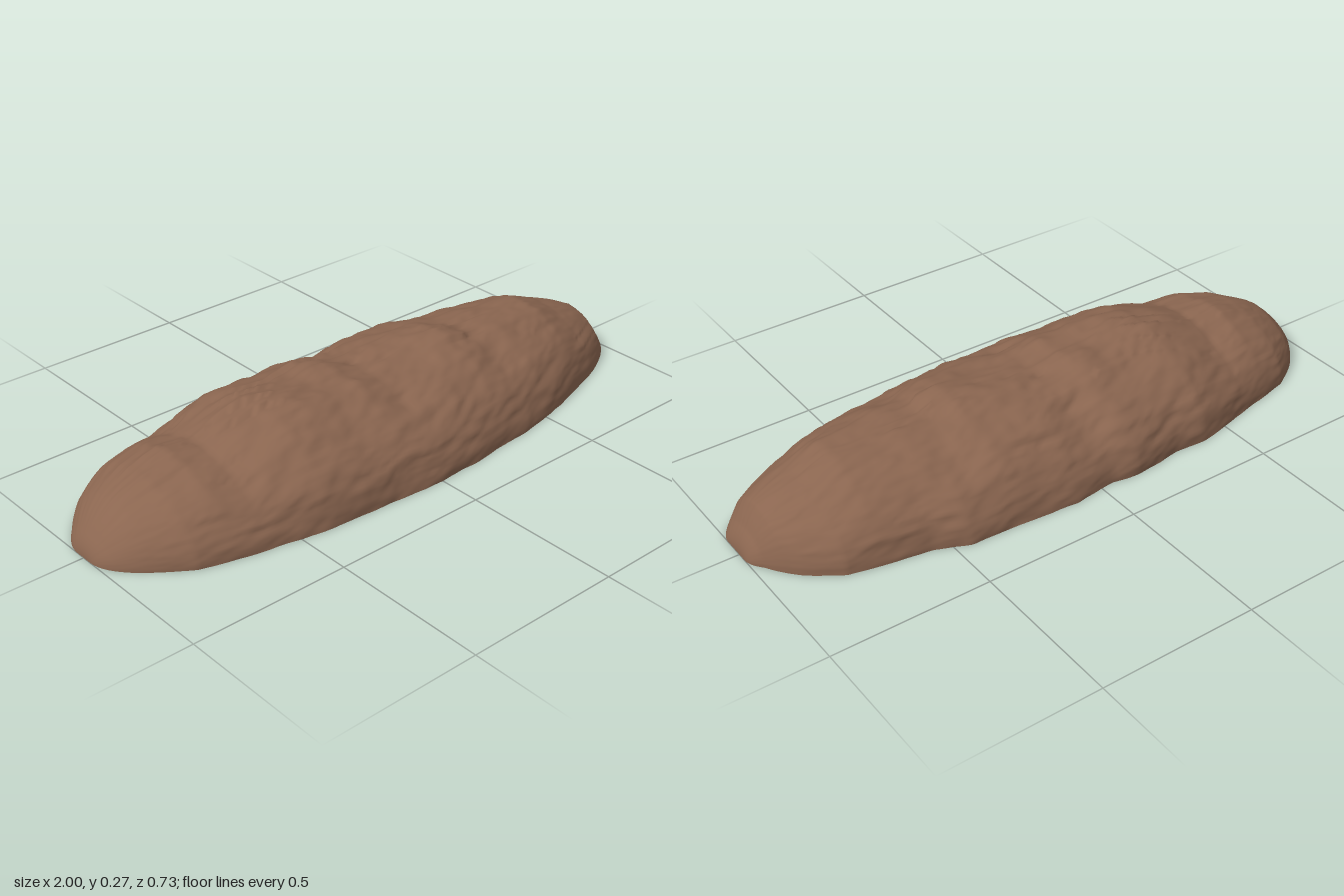
import * as THREE from 'three';

// Outline tables: [x, value] along the length of the rock
const HEIGHT = [[-1, 0], [-0.97, 0.07], [-0.9, 0.14], [-0.8, 0.185], [-0.7, 0.21], [-0.6, 0.2], [-0.5, 0.235],
  [-0.4, 0.262], [-0.3, 0.264], [-0.2, 0.25], [-0.1, 0.256], [0, 0.235], [0.1, 0.242], [0.3, 0.256], [0.4, 0.232],
  [0.5, 0.235], [0.7, 0.226], [0.8, 0.187], [0.93, 0.14], [0.97, 0.075], [1, 0]];
const FRONT = [[-1, 0.03], [-0.97, 0.11], [-0.9, 0.18], [-0.8, 0.25], [-0.6, 0.305], [-0.4, 0.335], [-0.2, 0.355],
  [0, 0.365], [0.2, 0.355], [0.4, 0.33], [0.6, 0.285], [0.8, 0.22], [0.95, 0.14], [1, 0.07]];
const BACK = [[-1, 0.03], [-0.96, 0.12], [-0.9, 0.19], [-0.8, 0.255], [-0.6, 0.3], [-0.4, 0.345], [-0.3, 0.34],
  [-0.13, 0.366], [-0.05, 0.35], [0.1, 0.366], [0.3, 0.345], [0.45, 0.34], [0.55, 0.3], [0.8, 0.25], [0.9, 0.18],
  [0.97, 0.09], [1, 0.03]];

// Interpolates by angle so the ends stay rounded
function sample(table, x) {
  let i = 1;
  while (i < table.length - 1 && table[i][0] < x) i++;
  const [x0, v0] = table[i - 1], [x1, v1] = table[i];
  const angle = (v) => Math.acos(THREE.MathUtils.clamp(-v, -1, 1));
  const k = (angle(x) - angle(x0)) / (angle(x1) - angle(x0));
  return THREE.MathUtils.lerp(v0, v1, THREE.MathUtils.clamp(k, 0, 1));
}

// Seeded value noise in two dimensions, from -1 to 1
function hash(i, j, seed) {
  const s = Math.sin(i * 127.1 + j * 311.7 + seed * 74.7) * 43758.5453;
  return (s - Math.floor(s)) * 2 - 1;
}
function noise(x, y, seed) {
  const i = Math.floor(x), j = Math.floor(y);
  const u = THREE.MathUtils.smoothstep(x - i, 0, 1), v = THREE.MathUtils.smoothstep(y - j, 0, 1);
  const { lerp } = THREE.MathUtils;
  return lerp(lerp(hash(i, j, seed), hash(i + 1, j, seed), u),
    lerp(hash(i, j + 1, seed), hash(i + 1, j + 1, seed), u), v);
}

// Point on the rock: t runs end to end, a runs from the front foot over the top to the back foot
function rockPoint(t, a, target) {
  const x = -Math.cos(t);
  const c = Math.cos(a), s = Math.max(0, Math.sin(a));
  const width = sample(c > 0 ? FRONT : BACK, x);
  // long strata: noise stretched along the length, with small sharp ledges
  const wave = a * 5 + 0.9 * noise(x * 4, a * 2, 5);
  const ledge = wave - Math.floor(wave) - 0.5;
  const patch = Math.max(0, noise(x * 5, a * 3, 9));
  const relief = 0.035 * noise(x * 7, a * 4, 1) + 0.022 * noise(x * 14, a * 11, 2)
    + 0.012 * noise(x * 32, a * 22, 3) - 0.07 * ledge * patch * s;
  const k = 1 + relief * Math.sin(t) * (0.35 + 0.65 * s);
  const z = Math.sign(c) * Math.pow(Math.abs(c), 1.13) * width * k;
  return target.set(x, sample(HEIGHT, x) * s * k, z);
}

export function createModel() {
  const group = new THREE.Group();
  group.name = 'rockMound';
  const brown = new THREE.MeshStandardMaterial({ color: 0x8b6650 });
  brown.name = 'earthBrown';

  // Weathered upper shell
  const along = 200, around = 90;
  const shell = new THREE.PlaneGeometry(1, 1, along, around);
  const p = new THREE.Vector3(), uv = shell.attributes.uv;
  for (let i = 0; i < uv.count; i++) {
    rockPoint(uv.getX(i) * Math.PI, uv.getY(i) * Math.PI, p);
    shell.attributes.position.setXYZ(i, p.x, p.y, p.z);
  }
  shell.computeVertexNormals();
  const shellMesh = new THREE.Mesh(shell, brown);
  shellMesh.name = 'rockShell';
  group.add(shellMesh);

  // Flat underside, joined to both feet of the shell
  const under = new THREE.PlaneGeometry(1, 1, along, 1);
  const underUv = under.attributes.uv;
  for (let i = 0; i < underUv.count; i++) {
    rockPoint(underUv.getX(i) * Math.PI, underUv.getY(i) > 0.5 ? 0 : Math.PI, p);
    under.attributes.position.setXYZ(i, p.x, 0, p.z);
  }
  under.computeVertexNormals();
  const underMesh = new THREE.Mesh(under, brown);
  underMesh.name = 'underside';
  group.add(underMesh);
  return group;
}
